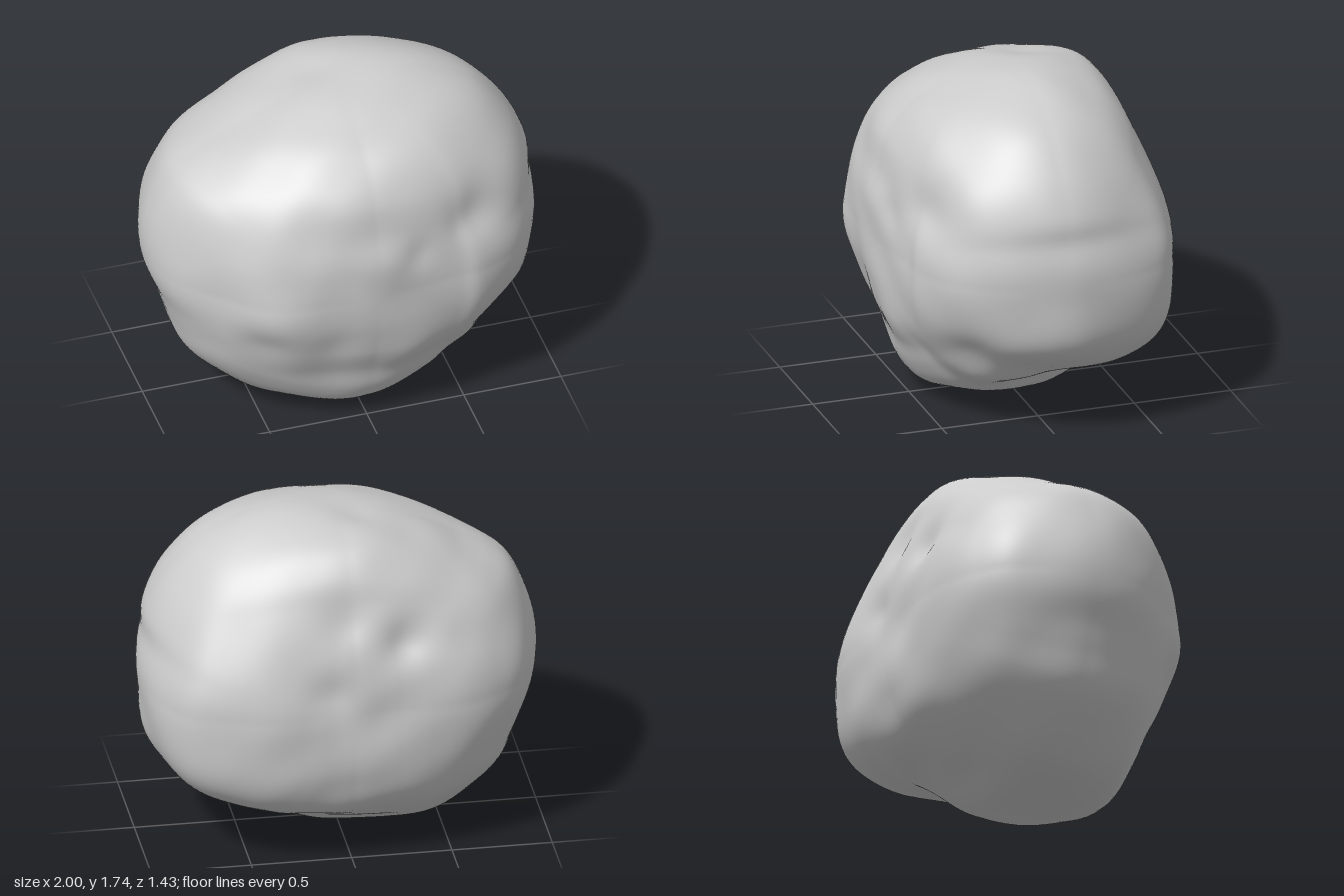
import * as THREE from 'three';
import { mergeVertices } from 'three/addons/utils/BufferGeometryUtils.js';

const MID = 0.87; // height of the boulder's core

// Turns a closed outline into a function: angle -> radius
function outline(points, v0) {
  const curve = new THREE.CatmullRomCurve3(
    points.map(([u, v]) => new THREE.Vector3(u, v - v0, 0)), true);
  const N = 360, table = new Array(N).fill(0);
  for (const p of curve.getPoints(3000)) {
    const k = Math.floor((Math.atan2(p.y, p.x) / (2 * Math.PI) + 1) * N) % N;
    table[k] = Math.max(table[k], Math.hypot(p.x, p.y));
  }
  for (let i = 0; i < 2 * N; i++) if (!table[i % N]) table[i % N] = table[(i + N - 1) % N];
  return (u, v) => {
    const t = (Math.atan2(v, u) / (2 * Math.PI) + 1) * N - 0.5;
    const i = Math.floor(t), f = t - i;
    return table[i % N] * (1 - f) + table[(i + 1) % N] * f;
  };
}

// Outlines through the core: x-y, z-y and x-z
const front = outline([
  [-0.3, 0.005], [-0.5, 0.05], [-0.7, 0.19], [-0.83, 0.33], [-0.88, 0.5], [-0.92, 0.65],
  [-0.98, 0.8], [-1, 0.95], [-0.97, 1.15], [-0.88, 1.34], [-0.78, 1.42], [-0.6, 1.51],
  [-0.42, 1.6], [-0.2, 1.67], [0, 1.72], [0.25, 1.735], [0.5, 1.69], [0.7, 1.59],
  [0.85, 1.43], [0.93, 1.3], [0.965, 1.2], [0.96, 1.1], [0.995, 0.95], [0.98, 0.8],
  [0.95, 0.55], [0.85, 0.42], [0.65, 0.28], [0.47, 0.22], [0.37, 0.12], [0.2, 0.07], [0, 0.015]], MID);
const side = outline([
  [0.1, 0.005], [0.3, 0.03], [0.45, 0.09], [0.53, 0.22], [0.57, 0.35], [0.66, 0.5],
  [0.7, 0.65], [0.71, 0.8], [0.705, 1.05], [0.66, 1.2], [0.62, 1.38], [0.54, 1.5],
  [0.4, 1.61], [0.2, 1.69], [-0.1, 1.735], [-0.3, 1.715], [-0.42, 1.67], [-0.52, 1.55],
  [-0.57, 1.42], [-0.63, 1.25], [-0.68, 1.05], [-0.705, 0.85], [-0.71, 0.65],
  [-0.68, 0.5], [-0.6, 0.33], [-0.4, 0.19], [-0.25, 0.12], [-0.1, 0.03]], MID);
const plan = outline([
  [-1, 0], [-0.96, 0.2], [-0.82, 0.4], [-0.6, 0.6], [-0.45, 0.67], [-0.1, 0.705], [0.2, 0.68],
  [0.45, 0.645], [0.54, 0.64], [0.75, 0.5], [0.92, 0.28], [0.97, 0.05], [1, -0.1], [0.97, -0.3],
  [0.85, -0.55], [0.7, -0.64], [0.45, -0.71], [0.2, -0.71], [0, -0.655], [-0.4, -0.66],
  [-0.6, -0.63], [-0.75, -0.55], [-0.9, -0.4]], 0);

// Dents and bulges: point on the surface (from the core), width, height
const FEATURES = [
  // big lobe at the back left, overhanging the base
  [0.72, -0.36, -0.45, 0.2, 0.06], [0.42, -0.42, -0.6, 0.2, 0.05],
  // groove between the lobe and the base
  [0.68, -0.42, 0.38, 0.13, -0.03], [0.7, -0.46, 0.12, 0.12, -0.03], [0.62, -0.52, -0.04, 0.12, -0.035],
  [0.44, -0.65, -0.18, 0.13, -0.04], [0.21, -0.7, -0.37, 0.14, -0.03],
  // base
  [0.45, -0.6, 0.28, 0.13, 0.025], [0.15, -0.45, 0.6, 0.14, 0.025], [-0.06, -0.63, 0.5, 0.18, 0.03],
  [-0.4, -0.75, 0.2, 0.2, 0.015],
  // front
  [-0.5, -0.1, 0.62, 0.15, 0.025], [-0.55, -0.28, 0.55, 0.13, -0.025], [-0.2, -0.3, 0.65, 0.13, -0.02],
  [0.48, 0.27, 0.54, 0.12, -0.04], [0.22, 0.2, 0.68, 0.09, -0.015], [0.3, 0.56, 0.42, 0.2, 0.025],
  [0.72, 0.0, 0.46, 0.18, 0.03], [0.74, 0.39, 0.4, 0.15, 0.02], [-0.15, 0.35, 0.62, 0.3, 0.012],
  // dimple in the back with creases running from it
  [-0.26, 0.34, -0.58, 0.12, -0.05], [0.05, 0.45, -0.55, 0.13, -0.03], [0.14, 0.12, -0.66, 0.12, -0.03],
  [-0.5, 0.3, -0.5, 0.1, -0.015],
  // top
  [0.25, 0.85, -0.14, 0.2, 0.018], [-0.08, 0.8, -0.12, 0.1, -0.02],
].map(([x, y, z, w, h]) => ({ at: new THREE.Vector3(x, y, z).normalize(), w: w * 1.3, h }));

// Distance from the core to the surface along a unit direction
function radius(d) {
  const { x, y, z } = d;
  const rx = (front(x, 0) + plan(x, 0)) / 2;
  const ry = (front(0, y) + side(0, y)) / 2;
  const rz = (side(z, 0) + plan(0, z)) / 2;
  // each outline is swelled into an ellipsoid-like solid; the nearest outline counts most
  const estimates = [
    [z, (x * x + y * y) / front(x, y) ** 2 + (z / rz) ** 2],
    [x, (z * z + y * y) / side(z, y) ** 2 + (x / rx) ** 2],
    [y, (x * x + z * z) / plan(x, z) ** 2 + (y / ry) ** 2]];
  let sum = 0, weights = 0;
  for (const [off, q] of estimates) {
    const w = 1 / (off * off + 0.03);
    sum += w * q;
    weights += w;
  }
  let r = Math.sqrt(weights / sum) * (1 + 0.12 * Math.abs(x * y * z));
  for (const f of FEATURES) r += f.h * Math.exp(-d.distanceToSquared(f.at) / (f.w * f.w));
  // faint weathering ripple
  return r + 0.006 * Math.sin(9 * x + 4 * y) * Math.sin(8 * y - 5 * z + 1) * Math.sin(9 * z + 3 * x + 2);
}

export function createModel() {
  const model = new THREE.Group();
  model.name = 'rock';

  let geo = new THREE.IcosahedronGeometry(1, 40);
  geo.deleteAttribute('uv');
  geo.deleteAttribute('normal');
  geo = mergeVertices(geo, 1e-4);
  const pos = geo.attributes.position, d = new THREE.Vector3();
  for (let i = 0; i < pos.count; i++) {
    d.fromBufferAttribute(pos, i).normalize();
    d.multiplyScalar(radius(d));
    pos.setXYZ(i, d.x, d.y, d.z);
  }

  // centre the boulder and rest it on the ground
  geo.computeBoundingBox();
  const c = geo.boundingBox.getCenter(new THREE.Vector3());
  geo.translate(-c.x, -geo.boundingBox.min.y, -c.z);
  geo.computeVertexNormals();

  const boulder = new THREE.Mesh(geo, new THREE.MeshStandardMaterial({ color: 0xcccccc }));
  boulder.name = 'boulder';
  model.add(boulder);
  return model;
}
